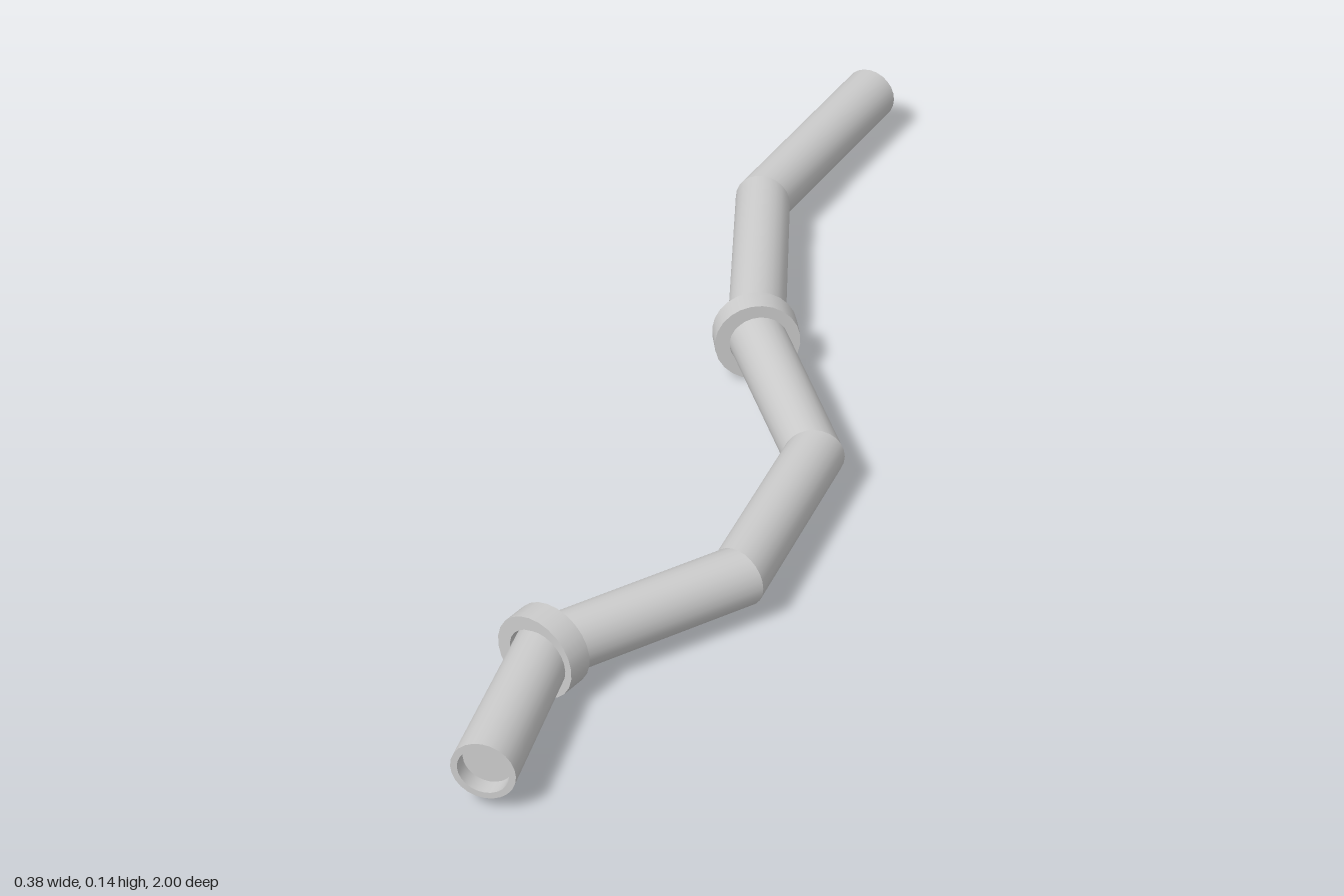
import * as THREE from 'three';

const SIDES = 24, PIPE_R = 0.048, BORE_R = 0.038, Y = 0.07;
const UP = new THREE.Vector3(0, 1, 0);
const material = new THREE.MeshStandardMaterial({ color: 0xcccccc });

// Centre line of the pipe, back to front
const path = [
  [-0.042, -0.988], [-0.135, -0.58], [-0.038, -0.165], [0.135, 0.142],
  [0.102, 0.475], [-0.124, 0.718], [-0.124, 1.0],
].map(([x, z]) => new THREE.Vector3(x, Y, z));

// Circle of points around a centre, facing along dir
function ring(center, dir, radius) {
  const side = new THREE.Vector3().crossVectors(UP, dir).normalize();
  return Array.from({ length: SIDES }, (_, i) => {
    const a = (i / SIDES) * Math.PI * 2;
    return center.clone()
      .addScaledVector(side, Math.cos(a) * radius)
      .addScaledVector(UP, Math.sin(a) * radius);
  });
}

// Smooth band between two rings
function band(a, b, name) {
  const index = [];
  for (let i = 0; i < SIDES; i++) {
    const j = (i + 1) % SIDES;
    index.push(i, j, SIDES + j, i, SIDES + j, SIDES + i);
  }
  const geometry = new THREE.BufferGeometry().setFromPoints([...a, ...b]);
  geometry.setIndex(index);
  geometry.computeVertexNormals();
  const mesh = new THREE.Mesh(geometry, material);
  mesh.name = name;
  return mesh;
}

// Rim, short bore and recessed floor at an open end
function pipeEnd(center, outward, name) {
  const group = new THREE.Group();
  group.name = name;
  const floor = center.clone().addScaledVector(outward, -0.025);
  const inner = ring(center, outward, BORE_R);
  const deep = ring(floor, outward, BORE_R);
  group.add(
    band(ring(center, outward, PIPE_R), inner, 'rim'),
    band(inner, deep, 'bore'),
    band(deep, ring(floor, outward, 0), 'boreFloor'),
  );
  return group;
}

// Flat-faced coupling ring around a joint
function collar(center, dir, radius, name) {
  const h = 0.021, inner = 0.046;
  const corners = [[inner, -h], [radius, -h], [radius, h], [inner, h], [inner, -h]];
  const group = new THREE.Group();
  group.name = name;
  // One lathe per face keeps the edges sharp
  for (let i = 0; i < 4; i++) {
    const profile = [corners[i], corners[i + 1]].map(([x, y]) => new THREE.Vector2(x, y));
    const face = new THREE.Mesh(new THREE.LatheGeometry(profile, SIDES), material);
    face.name = 'collarFace';
    group.add(face);
  }
  group.position.copy(center);
  group.quaternion.setFromUnitVectors(UP, dir);
  return group;
}

export function createModel() {
  const model = new THREE.Group();
  model.name = 'bentPipe';

  // Direction of each run, and the bisecting direction at each joint
  const runs = path.slice(1).map((p, i) => p.clone().sub(path[i]).normalize());
  const dirs = path.map((_, i) => {
    const before = runs[Math.max(i - 1, 0)], after = runs[Math.min(i, runs.length - 1)];
    return before.clone().add(after).normalize();
  });

  // Straight runs of pipe meeting at sharp bends
  const rings = path.map((p, i) => ring(p, dirs[i], PIPE_R));
  for (let i = 0; i < runs.length; i++) {
    model.add(band(rings[i], rings[i + 1], 'pipeRun'));
  }

  // Open ends
  const last = path.length - 1;
  model.add(pipeEnd(path[0], dirs[0].clone().negate(), 'backEnd'));
  model.add(pipeEnd(path[last], dirs[last], 'frontEnd'));

  // Collars on two of the joints
  model.add(collar(path[2], dirs[2], 0.07, 'backCollar'));
  model.add(collar(path[5], dirs[5], 0.068, 'frontCollar'));
  return model;
}
